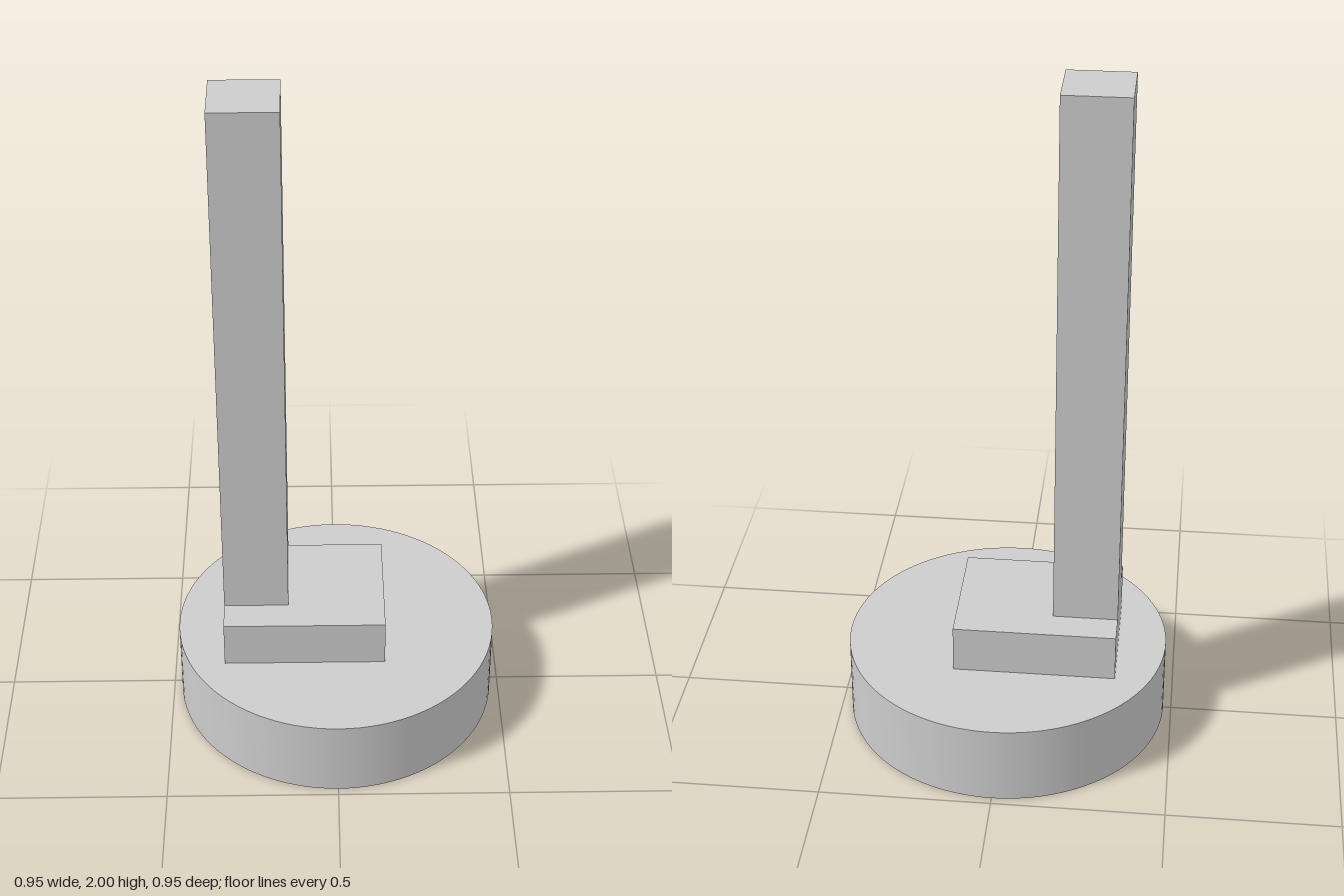
import * as THREE from 'three';

// The design uses a module of 1/21 unit.
const U = 1 / 21;

export function createModel() {
  const model = new THREE.Group();
  model.name = 'postOnBase';
  const grey = new THREE.MeshStandardMaterial({ color: 0xcccccc });
  grey.name = 'lightGrey';

  const add = (name, geometry, x, y) => {
    const mesh = new THREE.Mesh(geometry, grey);
    mesh.name = name;
    mesh.position.set(x * U, y * U, 0);
    model.add(mesh);
  };

  // Round base, 5 modules high
  add('roundBase', new THREE.CylinderGeometry(10 * U, 10 * U, 5 * U, 96), 0, 2.5);
  // Rectangular block, offset to the right
  add('block', new THREE.BoxGeometry(10 * U, 3 * U, 8 * U), -2, 6.5);
  // Tall square post flush with the block's outer end
  add('post', new THREE.BoxGeometry(4 * U, 34 * U, 4 * U), -5, 25);

  return model;
}
